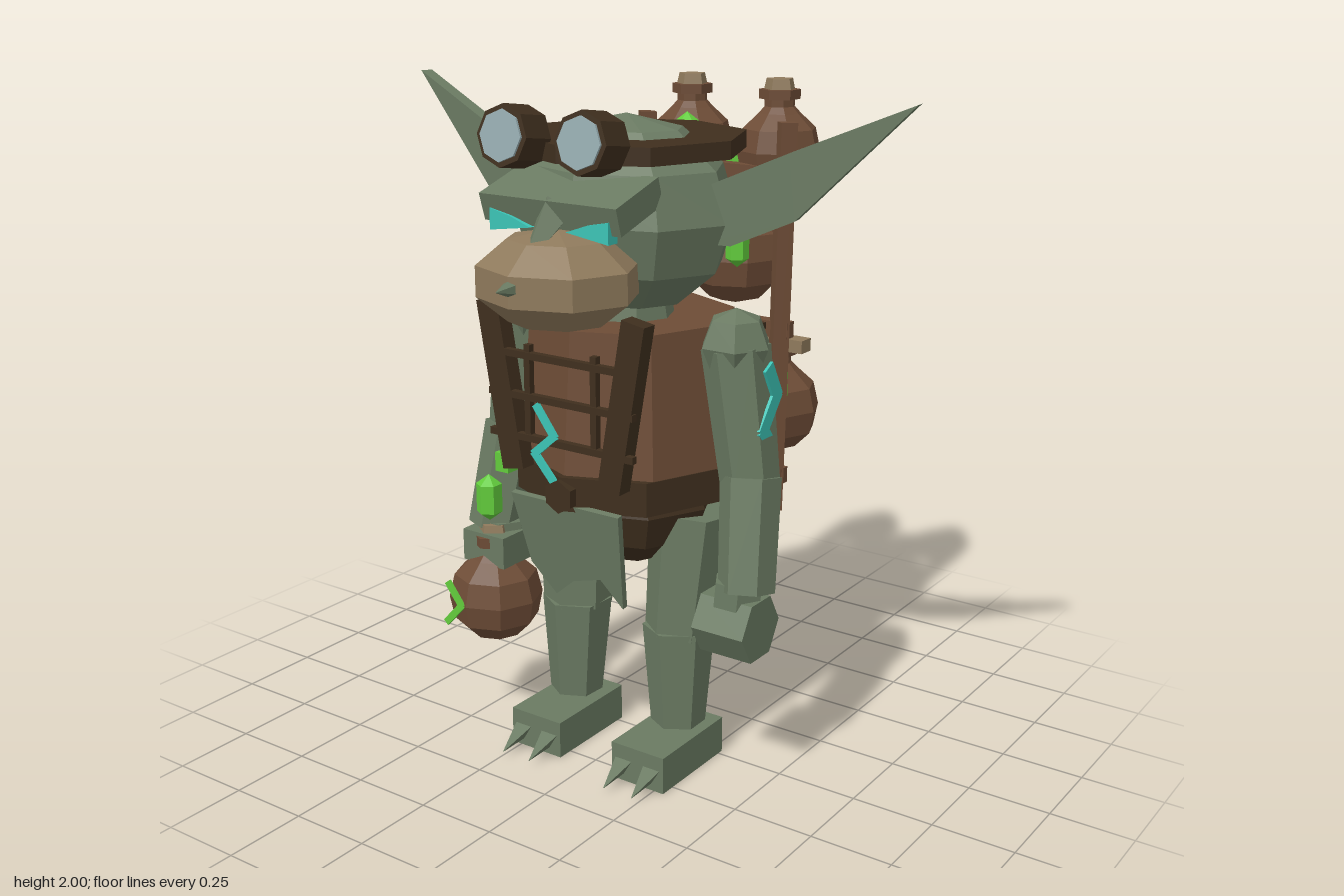
import * as THREE from 'three';

const mat = (name, color) => {
  const m = new THREE.MeshStandardMaterial({ color, flatShading: true });
  m.name = name;
  return m;
};

export function createModel() {
  const root = new THREE.Group();
  root.name = 'goblinPedlar';
  const skin = mat('greenSkin', 0x6a7a62), tan = mat('tan', 0x8f7a5c), brown = mat('brownLeather', 0x6d4c36);
  const dark = mat('darkLeather', 0x3f2f1e), cyan = mat('cyanGlow', 0x3cc4b6);
  const lime = mat('limeGlow', 0x62cc3c), glass = mat('lensGlass', 0x96acb0);
  const V = (x, y, z) => new THREE.Vector3(x, y, z);

  const add = (name, geo, m, x = 0, y = 0, z = 0, rx = 0, ry = 0, rz = 0) => {
    const mesh = new THREE.Mesh(geo, m);
    mesh.name = name;
    mesh.position.set(x, y, z);
    mesh.rotation.set(rx, ry, rz);
    root.add(mesh);
    return mesh;
  };
  const box = (name, m, w, h, d, x, y, z, rx, ry, rz) =>
    add(name, new THREE.BoxGeometry(w, h, d), m, x, y, z, rx, ry, rz);
  const ball = (name, m, rx, ry, rz, x, y, z, ws = 8, hs = 6) =>
    add(name, new THREE.SphereGeometry(1, ws, hs).scale(rx, ry, rz), m, x, y, z);
  const lathe = (pts, n) => new THREE.LatheGeometry(pts.map(p => new THREE.Vector2(...p)), n);
  const plate = (pts, depth) => {
    const g = new THREE.ExtrudeGeometry(new THREE.Shape(pts.map(p => new THREE.Vector2(...p))),
      { depth, bevelEnabled: false });
    return g.translate(0, 0, -depth / 2);
  };
  // tapered limb running from a to b
  const limb = (name, m, a, b, ra, rb, n = 6) => {
    const d = b.clone().sub(a);
    const mesh = add(name, new THREE.CylinderGeometry(rb, ra, d.length(), n), m);
    mesh.position.copy(a).add(b).multiplyScalar(0.5);
    mesh.quaternion.setFromUnitVectors(V(0, 1, 0), d.normalize());
    return mesh;
  };
  // glowing zigzag of thin strips, drawn in the xy plane of its group
  const zigzag = (name, m, pts, w, x, y, z, ry = 0) => {
    const g = new THREE.Group();
    g.name = name;
    for (let i = 1; i < pts.length; i++) {
      const [x0, y0] = pts[i - 1], [x1, y1] = pts[i];
      const s = new THREE.Mesh(new THREE.BoxGeometry(w, Math.hypot(x1 - x0, y1 - y0) + w * 0.5, 0.009), m);
      s.name = name + 'Strip';
      s.position.set((x0 + x1) / 2, (y0 + y1) / 2, 0);
      s.rotation.z = Math.atan2(y1 - y0, x1 - x0) - Math.PI / 2;
      g.add(s);
    }
    g.position.set(x, y, z);
    g.rotation.y = ry;
    root.add(g);
  };
  const crystal = (name, x, y, z, s = 1) => add(name,
    lathe([[0, -0.075], [0.04, -0.045], [0.04, 0.045], [0, 0.075]].map(p => [p[0] * s, p[1] * s]), 6), lime, x, y, z);
  const jug = (name, x, y, z, r) => {
    const body = [[0, -1], [0.55, -0.85], [0.9, -0.5], [1, 0], [0.88, 0.5], [0.5, 0.85], [0.36, 1], [0.36, 1.25]];
    add(name, lathe(body.map(p => [p[0] * r, p[1] * r]), 8), brown, x, y, z);
    add(name + 'Collar', new THREE.CylinderGeometry(0.48 * r, 0.48 * r, 0.22 * r, 6), brown, x, y + 1.28 * r, z);
    add(name + 'Stopper', new THREE.CylinderGeometry(0.32 * r, 0.38 * r, 0.26 * r, 5), tan, x, y + 1.5 * r, z);
  };

  // Head and muzzle
  ball('head', skin, 0.345, 0.28, 0.28, 0, 1.655, 0.08);
  add('neck', new THREE.CylinderGeometry(0.12, 0.14, 0.12, 8), skin, 0, 1.38, 0.07);
  ball('muzzle', tan, 0.245, 0.14, 0.22, 0, 1.52, 0.4, 8, 5);
  box('brow', skin, 0.46, 0.08, 0.2, 0, 1.73, 0.34, 0.3);
  limb('noseBridge', skin, V(0, 1.71, 0.4), V(0, 1.59, 0.53), 0.055, 0.012, 4);
  add('noseTip', new THREE.ConeGeometry(0.04, 0.1, 6), skin, 0, 1.53, 0.61, Math.PI / 2);

  // Hat brim and goggles
  add('hatBrim', new THREE.CylinderGeometry(0.335, 0.335, 0.05, 8), dark, 0, 1.855, 0.065);
  const tilt = Math.PI / 2 - 0.13;
  for (const s of [-1, 1]) {
    add('goggleBarrel', new THREE.CylinderGeometry(0.085, 0.085, 0.105, 8), dark, s * 0.13, 1.895, 0.413, tilt, 0, 0);
    add('goggleLens', new THREE.CylinderGeometry(0.07, 0.07, 0.008, 8), glass, s * 0.13, 1.902, 0.468, tilt, 0, 0);
    add('eye', plate([[s * 0.06, 1.66], [s * 0.2, 1.64], [s * 0.2, 1.7], [s * 0.13, 1.685]], 0.04), cyan, 0, 0, 0.42);

    // Ears sweep outward, up and slightly back
    const ear = [[-0.07, 1.6], [0.02, 1.6], [0.2, 1.68], [0.52, 2], [0.18, 1.86], [-0.05, 1.76]];
    add('ear', plate(ear.map(p => [s * p[0], p[1]]), 0.04), skin, s * 0.33, 0, 0.075, 0, s * 0.2, 0);
  }

  // Topknot tie behind the head
  box('hairTie', tan, 0.07, 0.09, 0.07, 0, 1.605, -0.21);
  limb('hairTail', tan, V(0, 1.57, -0.24), V(0, 1.4, -0.175), 0.015, 0.01, 4);

  // Torso, belt and hips
  add('vest', new THREE.CylinderGeometry(0.3, 0.335, 0.42, 8), brown, 0, 1.155, 0.05);
  add('belt', new THREE.CylinderGeometry(0.325, 0.325, 0.1, 8), dark, 0, 0.905, 0.08);
  add('beltBuckle', new THREE.CylinderGeometry(0.05, 0.05, 0.03, 6), dark, 0, 0.9, 0.4, Math.PI / 2);
  ball('hips', dark, 0.275, 0.2, 0.24, 0, 0.82, 0.08);
  add('loincloth', plate([[-0.19, 0.3], [-0.15, 0.08], [-0.07, -0.01], [0, 0.05], [0.1, 0.08],
    [0.17, 0], [0.19, 0.3]], 0.02), skin, 0, 0.575, 0.33, 0.17);

  // Ladder harness in front, matching bars behind
  for (const y of [1.05, 1.17, 1.29]) {
    box('frontBar', dark, 0.5, 0.02, 0.02, 0, y, 0.395);
    box('backBar', dark, 0.5, 0.02, 0.02, 0, y, -0.272);
  }
  for (const s of [-1, 1]) {
    box('harnessStrap', dark, 0.075, 0.49, 0.05, s * 0.21, 1.19, 0.38, 0, 0, -s * 0.17);
    box('harnessUpright', dark, 0.02, 0.28, 0.02, s * 0.115, 1.18, 0.39);
  }

  // Arms, legs and feet
  for (const s of [-1, 1]) {
    ball('shoulder', skin, 0.105, 0.105, 0.105, s * 0.37, 1.325, 0.08, 6, 4);
    limb('upperArm', skin, V(s * 0.37, 1.32, 0.08), V(s * 0.425, 0.93, 0.08), 0.098, 0.085);
    limb('forearm', skin, V(s * 0.43, 0.955, 0.085), V(s * 0.462, 0.635, 0.15), 0.088, 0.082);
    limb('wrist', skin, V(s * 0.435, 0.66, 0.145), V(s * 0.43, 0.57, 0.15), 0.075, 0.075);

    limb('thigh', skin, V(s * 0.21, 0.8, 0.05), V(s * 0.19, 0.42, 0.08), 0.125, 0.105);
    limb('shin', skin, V(s * 0.19, 0.44, 0.085), V(s * 0.193, 0.13, 0.09), 0.108, 0.082);
    box('foot', skin, 0.185, 0.115, 0.32, s * 0.19, 0.0575, 0.14);
    for (const t of [-0.05, 0.05])
      limb('toeClaw', skin, V(s * 0.19 + t, 0.055, 0.29), V(s * 0.19 + t, 0.02, 0.4), 0.035, 0.001, 3);
  }
  add('leftFist', new THREE.CylinderGeometry(0.1, 0.1, 0.17, 6), skin, 0.427, 0.53, 0.15, 0, 0, Math.PI / 2);
  box('rightHand', skin, 0.16, 0.1, 0.17, -0.43, 0.59, 0.16);

  // Jug and charms carried in the right hand
  jug('handJug', -0.43, 0.425, 0.19, 0.146);
  zigzag('jugRune', lime, [[-0.07, 0.065], [-0.02, 0], [-0.08, -0.065]], 0.022, -0.43, 0.425, 0.332);
  crystal('armCharm', -0.43, 0.75, 0.21);
  box('smallCharm', lime, 0.05, 0.06, 0.05, -0.39, 0.865, 0.17);

  // Glowing body runes
  zigzag('chestRune', cyan, [[-0.08, 1.15], [-0.02, 1.07], [-0.09, 1.01], [0, 0.91]], 0.024, 0, 0, 0.402);
  zigzag('thighRune', cyan, [[-0.19, 0.72], [-0.16, 0.63], [-0.21, 0.53]], 0.024, 0, 0, 0.19);
  zigzag('armRune', cyan, [[-0.08, 1.27], [-0.035, 1.19], [-0.105, 1.1], [-0.065, 1.05]], 0.045, 0.478, 0, 0, Math.PI / 2);

  // Carrying frame on the back
  for (const s of [-1, 1])
    limb('framePole', brown, V(s * 0.25, 0.69, -0.345), V(s * 0.25, 1.88, -0.38), 0.035, 0.035, 4);
  [[0.8, -0.36], [1.26, -0.375], [1.72, -0.395]].forEach(([y, z]) => box('frameRail', brown, 0.56, 0.05, 0.04, 0, y, z));
  box('frameShelf', tan, 0.6, 0.04, 0.055, 0, 1.2, -0.44);

  // Load of jugs and glowing vials
  for (const x of [-0.165, 0.15]) {
    jug('upperJug', x, 1.78, -0.5, 0.13);
    jug('lowerJug', x, 0.97, -0.51, 0.145);
  }
  jug('middleJug', 0, 1.44, -0.51, 0.155);
  crystal('middleVial', 0.01, 1.74, -0.5);
  crystal('sideVial', -0.11, 1.82, -0.39, 0.9);
  crystal('lowVial', 0.09, 1.5, -0.37, 0.9);
  crystal('shelfVial', 0.22, 1.08, -0.4, 0.9);

  return root;
}
